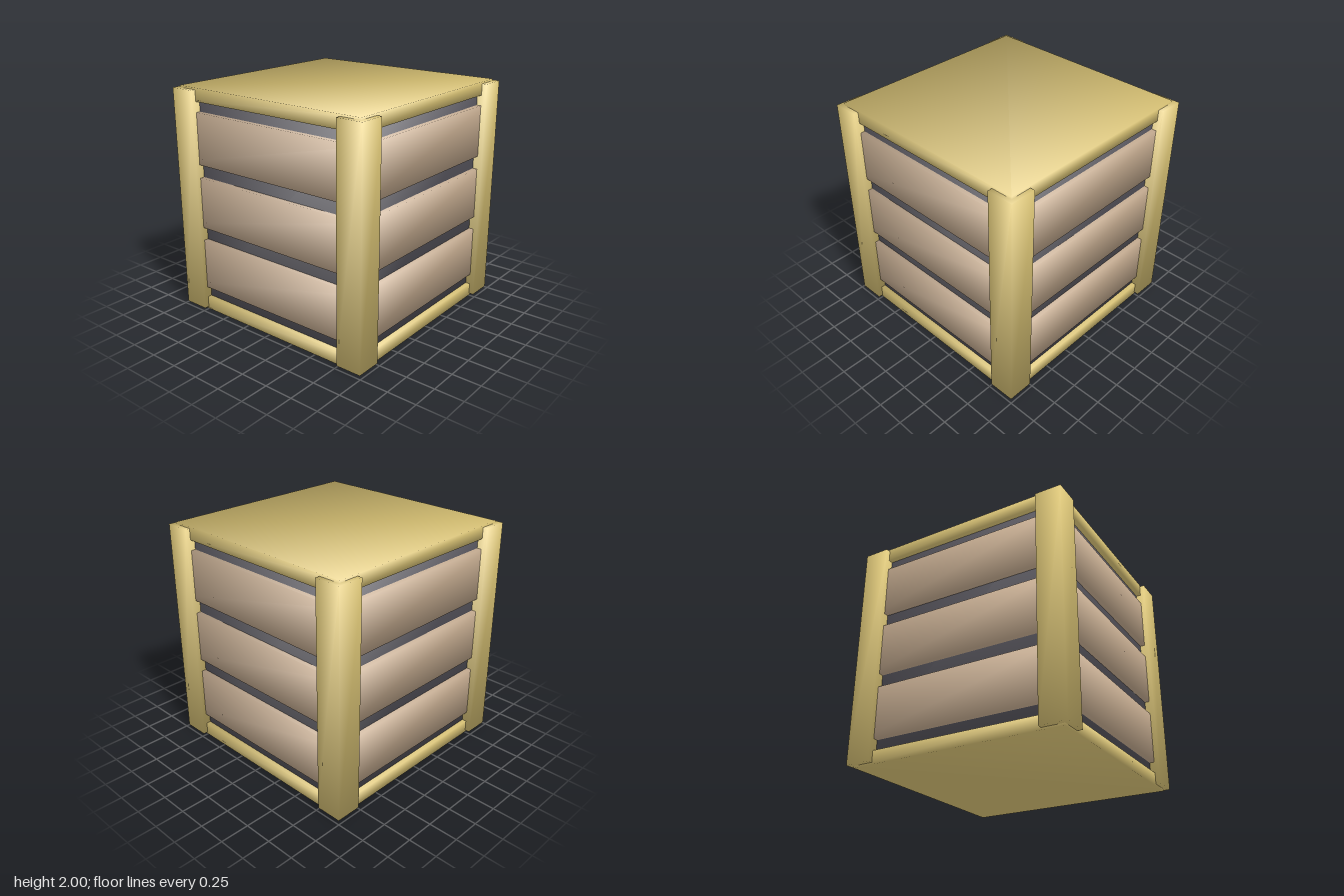
import * as THREE from 'three';

const paint = (name, color) => {
  const m = new THREE.MeshStandardMaterial({ color });
  m.name = name;
  return m;
};

// Box whose corner normals are averaged, so shading rolls softly over the edges
function softBox(w, h, d) {
  const g = new THREE.BoxGeometry(w, h, d);
  const p = g.attributes.position, n = g.attributes.normal;
  const k = 1 / Math.sqrt(3);
  for (let i = 0; i < p.count; i++) {
    n.setXYZ(i, Math.sign(p.getX(i)) * k, Math.sign(p.getY(i)) * k, Math.sign(p.getZ(i)) * k);
  }
  return g;
}

export function createModel() {
  const group = new THREE.Group();
  group.name = 'crate';
  const brass = paint('brass yellow', 0xdfc878);
  const wood = paint('pale wood', 0xc8ae92);
  const dark = paint('dark grey', 0x55535b);

  const add = (name, size, pos, material) => {
    const mesh = new THREE.Mesh(softBox(...size), material);
    mesh.name = name;
    mesh.position.set(...pos);
    group.add(mesh);
  };

  // Dark core seen between the slats
  add('core', [1.8, 1.88, 1.8], [0, 1, 0], dark);

  // Bottom and top plates
  add('basePlate', [1.88, 0.115, 1.88], [0, 0.0575, 0], brass);
  add('lid', [1.88, 0.115, 1.88], [0, 1.9425, 0], brass);

  // Three bands of slats wrapping all four sides
  [0.4365, 1.004, 1.57].forEach((y, i) => {
    add('slatBand' + (i + 1), [1.88, 0.45, 1.88], [0, y, 0], wood);
  });

  // Corner posts
  for (const x of [-1, 1]) {
    for (const z of [-1, 1]) {
      const name = (z > 0 ? 'front' : 'back') + (x > 0 ? 'Left' : 'Right') + 'Post';
      add(name, [0.227, 1.965, 0.227], [x * 0.868, 1, z * 0.868], brass);
    }
  }
  return group;
}
